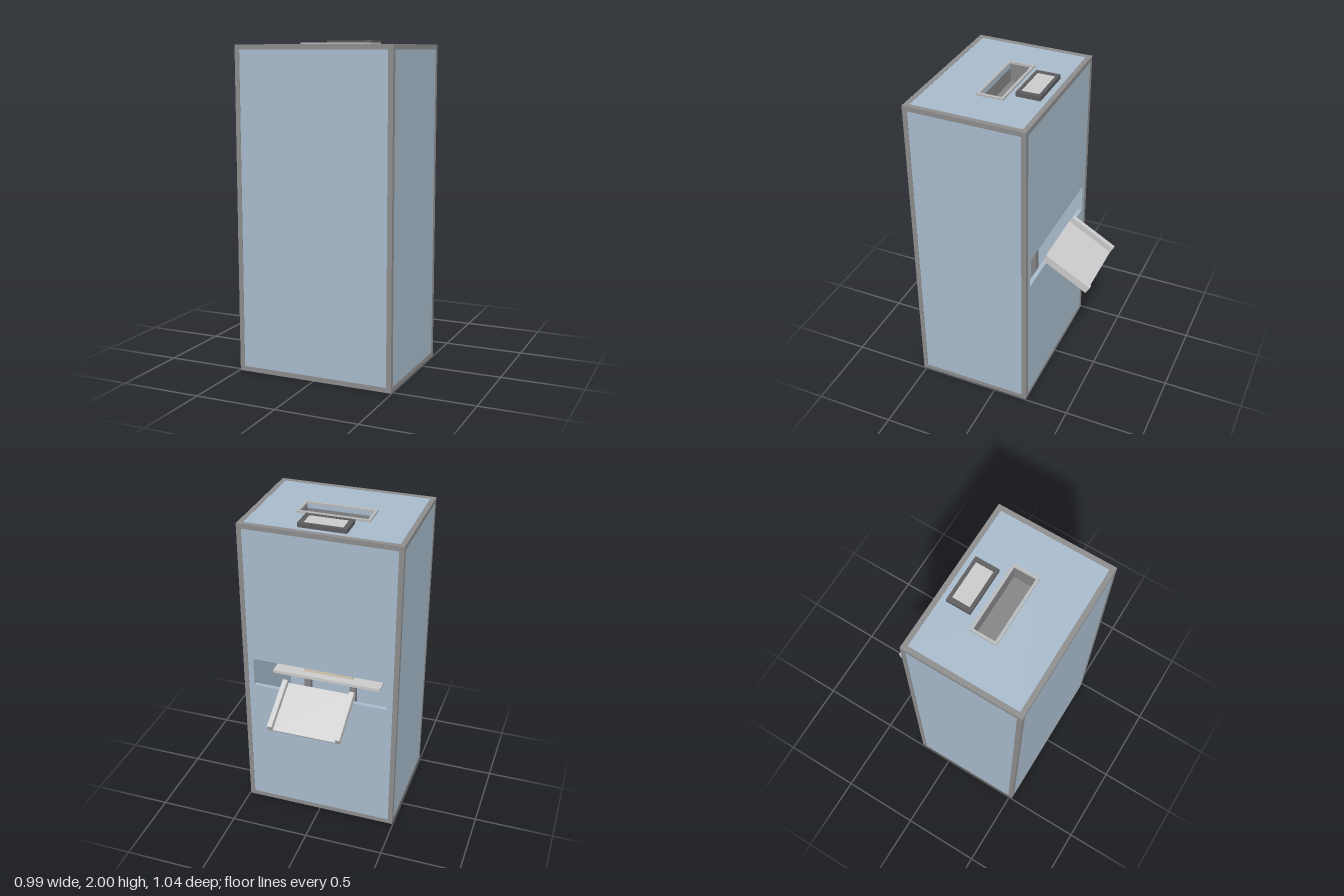
import * as THREE from 'three';

const mat = (color, side = THREE.FrontSide) => new THREE.MeshStandardMaterial({ color, side });
const panelMat = mat(0xa9bccd);
const frameMat = mat(0x8e8e8e);
const darkMat = mat(0x5e5e60);
const greyMat = mat(0x858588);
const lightMat = mat(0xdcdddf);
const blackMat = mat(0x1c1c1c);
const creamMat = mat(0xd9cdb4);

// Cabinet limits
const X = 0.495, H = 1.975, ZB = -0.22, ZF = 0.52, ZC = 0.15, D = 0.74;
const BEAM = 0.03, WALL = 0.026, INSET = 0.002;

function box(parent, name, size, pos, material) {
  const m = new THREE.Mesh(new THREE.BoxGeometry(...size), material);
  m.name = name;
  m.position.set(...pos);
  parent.add(m);
  return m;
}

// Flat plate with a rectangular hole, extruded along +z
function holedPlate(parent, name, w, h, t, hole, material) {
  const rect = (P, x0, y0, x1, y1) =>
    new P([[x0, y0], [x1, y0], [x1, y1], [x0, y1]].map((p) => new THREE.Vector2(...p)));
  const s = rect(THREE.Shape, -w / 2, -h / 2, w / 2, h / 2);
  s.holes.push(rect(THREE.Path, ...hole));
  const m = new THREE.Mesh(new THREE.ExtrudeGeometry(s, { depth: t, bevelEnabled: false }), material);
  m.name = name;
  parent.add(m);
  return m;
}

function buildCabinet() {
  const g = new THREE.Group();
  g.name = 'cabinet';
  const b = BEAM, w = 2 * X - 2 * b, h = H - 2 * b, d = D - 2 * b;

  // Edge beams
  for (const sx of [-1, 1]) {
    const x = sx * (X - b / 2);
    for (const z of [ZB + b / 2, ZF - b / 2]) box(g, 'cornerPost', [b, H, b], [x, H / 2, z], frameMat);
    for (const y of [b / 2, H - b / 2]) box(g, 'sideRail', [b, b, d], [x, y, ZC], frameMat);
    box(g, 'sidePanel', [WALL, h, d], [sx * (X - INSET - WALL / 2), H / 2, ZC], panelMat);
  }
  for (const y of [b / 2, H - b / 2])
    for (const z of [ZB + b / 2, ZF - b / 2]) box(g, 'crossRail', [w, b, b], [0, y, z], frameMat);

  box(g, 'frontPanel', [w, h, WALL], [0, H / 2, ZF - INSET - WALL / 2], panelMat);
  box(g, 'bottomPanel', [w, WALL, d], [0, INSET + WALL / 2, ZC], panelMat);

  // Back panel with the delivery opening
  const back = holedPlate(g, 'backPanel', w, h, WALL, [-0.43, 0.89 - H / 2, 0.43, 1.08 - H / 2], panelMat);
  back.position.set(0, H / 2, ZB + INSET);

  // Top panel with the feed opening
  const top = holedPlate(g, 'topPanel', w, d, WALL, [-0.21, -0.035, 0.21, 0.1], panelMat);
  top.rotation.x = -Math.PI / 2;
  top.position.set(0, H - INSET - WALL, ZC);
  return g;
}

function buildFeedSlot() {
  const g = new THREE.Group();
  g.name = 'feedSlot';
  const z = 0.1185, depth = 0.12, y = H - depth / 2 - 0.002;
  const rim = holedPlate(g, 'slotRim', 0.45, 0.167, 0.014, [-0.208, -0.067, 0.208, 0.067], mat(0xb9bbbd));
  rim.rotation.x = -Math.PI / 2;
  rim.position.set(0, H - 0.003, z);
  for (const s of [-1, 1]) {
    box(g, 'slotSideWall', [0.01, depth, 0.144], [s * 0.213, y, z], greyMat);
    box(g, 'slotLongWall', [0.436, depth, 0.01], [0, y, z + s * 0.072], greyMat);
  }
  box(g, 'slotFloor', [0.436, 0.01, 0.154], [0, H - depth, z], greyMat);
  return g;
}

function buildScreen() {
  const g = new THREE.Group();
  g.name = 'displayUnit';
  const bezel = holedPlate(g, 'screenBezel', 0.296, 0.15, 0.027, [-0.12, -0.055, 0.12, 0.055], darkMat);
  bezel.rotation.x = -Math.PI / 2;
  bezel.position.set(0, H - 0.002, -0.08);
  box(g, 'screen', [0.24, 0.022, 0.11], [0, H + 0.01, -0.08], lightMat);
  return g;
}

// Sloping tray that leaves the back opening
function buildTray() {
  const g = new THREE.Group();
  g.name = 'outputTray';
  const len = 0.327;
  box(g, 'trayDeck', [0.4, 0.012, len], [0, -0.019, 0], lightMat);
  for (const s of [-1, 1]) box(g, 'trayRail', [0.03, 0.05, len], [s * 0.214, 0, 0], lightMat);
  g.position.set(0, 0.883, -0.367);
  g.rotation.x = -Math.PI / 6;
  return g;
}

// Shelf and mechanism seen through the back opening
function buildMechanism() {
  const g = new THREE.Group();
  g.name = 'innerMechanism';
  box(g, 'innerShelf', [0.7, 0.02, 0.3], [0, 0.935, 0.05], lightMat);
  box(g, 'shelfBox', [0.32, 0.05, 0.15], [0, 0.97, 0.025], creamMat);
  box(g, 'upperUnit', [0.34, 0.16, 0.28], [0, 1.18, 0.053], blackMat);
  for (const s of [-1, 1]) box(g, 'shelfPost', [0.04, 0.9, 0.04], [s * 0.15, 0.475, 0], greyMat);
  return g;
}

export function createModel() {
  const model = new THREE.Group();
  model.name = 'kioskCabinet';
  model.add(buildCabinet(), buildFeedSlot(), buildScreen(), buildTray(), buildMechanism());
  return model;
}
